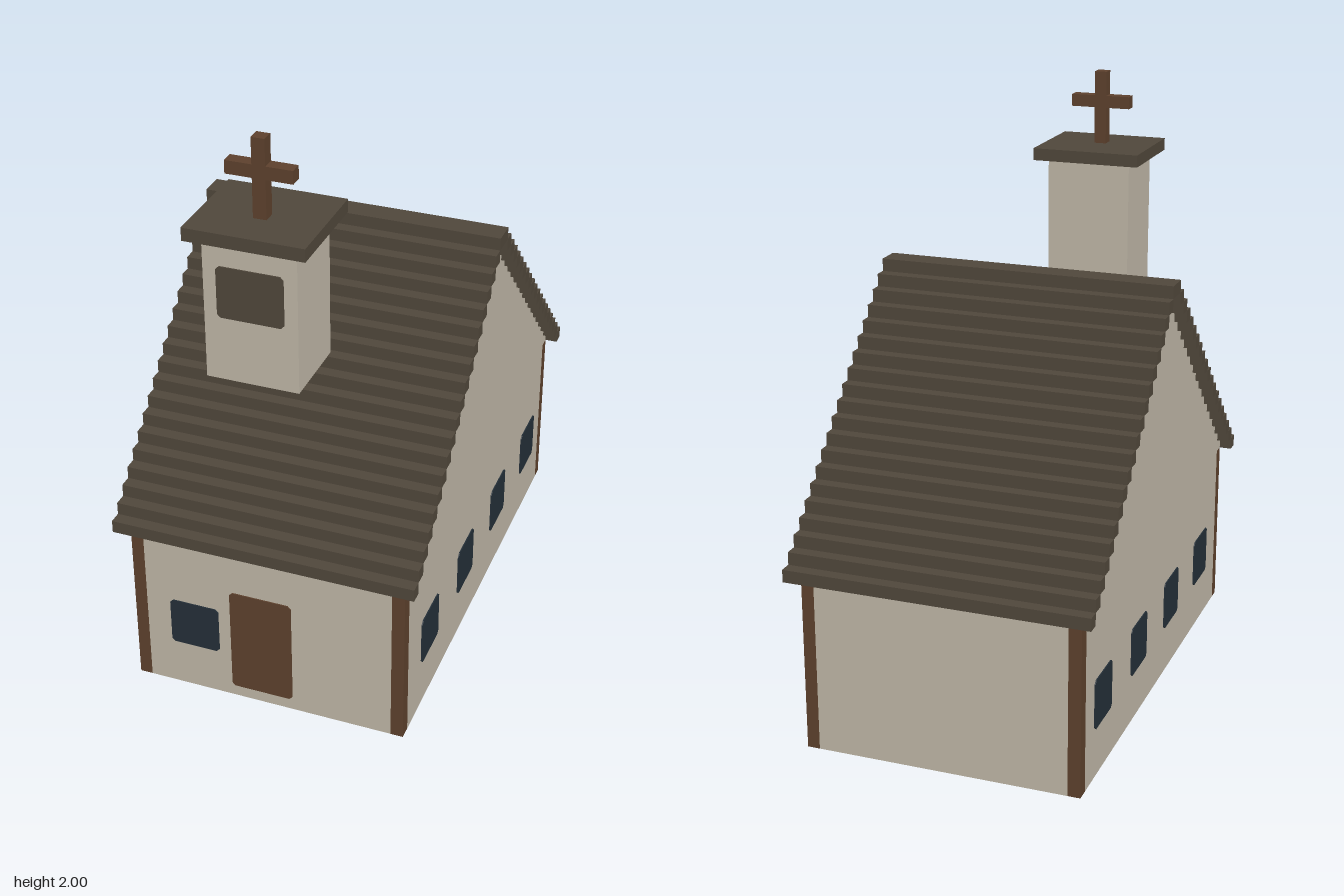
import * as THREE from 'three';
import { mergeGeometries } from 'three/addons/utils/BufferGeometryUtils.js';

const U = 2 / 47; // one building block

const material = (name, color) => {
  const m = new THREE.MeshStandardMaterial({ color });
  m.name = name;
  return m;
};

// box given by its limits, in blocks
function box(x0, x1, y0, y1, z0, z1) {
  const g = new THREE.BoxGeometry((x1 - x0) * U, (y1 - y0) * U, (z1 - z0) * U);
  return g.translate((x0 + x1) * U / 2, (y0 + y1) * U / 2, (z0 + z1) * U / 2);
}

// thin plate with clipped corners, facing +z, centred on its origin
function plate(w, h) {
  const a = w * U / 2, b = h * U / 2, c = 0.25 * U;
  const pts = [[a - c, -b], [a, -b + c], [a, b - c], [a - c, b],
    [-a + c, b], [-a, b - c], [-a, -b + c], [-a + c, -b]];
  const shape = new THREE.Shape(pts.map(([x, y]) => new THREE.Vector2(x, y)));
  return new THREE.ExtrudeGeometry(shape, { depth: 0.004, bevelEnabled: false });
}

export function createModel() {
  const model = new THREE.Group();
  model.name = 'chapel';
  const plaster = material('plaster', 0xbfb7a7);
  const shingle = material('shingle', 0x50473b);
  const timber = material('timber', 0x5d412d);
  const glass = material('glass', 0x242f38);
  const planks = material('floor planks', 0x6e533a);

  const add = (name, geometry, mat, parent = model) => {
    const mesh = new THREE.Mesh(geometry, mat);
    mesh.name = name;
    parent.add(mesh);
    return mesh;
  };

  // front and back walls, floor
  add('frontWall', box(-10, 10, 0, 14, 18, 19), plaster);
  add('backWall', box(-10, 10, 0, 14, -19, -18), plaster);
  add('floor', box(-10, 10, 0, 1, -18, 18), planks);

  // side walls with stepped gables
  const gable = new THREE.Shape();
  gable.moveTo(-18 * U, 0);
  gable.lineTo(18 * U, 0);
  gable.lineTo(18 * U, 14 * U);
  for (let i = 0; i < 19; i++) {
    gable.lineTo((19 - i) * U, (14 + i) * U);
    gable.lineTo((19 - i) * U, (15 + i) * U);
  }
  for (let i = 18; i >= 0; i--) {
    gable.lineTo((i - 19) * U, (15 + i) * U);
    gable.lineTo((i - 19) * U, (14 + i) * U);
  }
  gable.lineTo(-18 * U, 14 * U);
  const gableGeo = new THREE.ExtrudeGeometry(gable, { depth: U, bevelEnabled: false });
  gableGeo.translate(0, 0, -U / 2).rotateY(-Math.PI / 2);
  for (const s of [-1, 1]) {
    add(s > 0 ? 'leftWall' : 'rightWall', gableGeo, plaster).position.x = s * 10.5 * U;
    // corner posts
    for (const t of [-1, 1]) {
      add('cornerPost', box(-0.5, 0.5, 0, 14, -0.5, 0.5), timber)
        .position.set(s * 10.5 * U, 0, t * 18.5 * U);
    }
    // side windows
    for (const z of [13, 4, -5, -14]) {
      const w = add('sideWindow', plate(4, 4), glass);
      w.rotation.y = s * Math.PI / 2;
      w.position.set(s * 11 * U, 6 * U, z * U);
    }
  }

  // stepped roof, one course per block
  const courses = [];
  for (let i = 0; i < 20; i++) {
    courses.push(box(-12, 12, 14 + i, 15 + i, 19 - i, 20 - i));
    courses.push(box(-12, 12, 14 + i, 15 + i, i - 20, i - 19));
  }
  add('roof', mergeGeometries(courses), shingle);

  // door and front window
  add('door', plate(5, 9), timber).position.set(-0.5 * U, 5.5 * U, 19 * U);
  add('frontWindow', plate(4, 4), glass).position.set(-6 * U, 6 * U, 19 * U);

  // bell tower with cap and cross
  const tower = new THREE.Group();
  tower.name = 'bellTower';
  model.add(tower);
  add('towerBody', box(-4, 3, 29, 40, 13, 19), plaster, tower);
  add('towerCap', box(-5, 4, 40, 41, 12, 20), shingle, tower);
  add('belfryOpening', plate(5, 4), shingle, tower).position.set(-0.5 * U, 36 * U, 19 * U);
  add('crossPost', box(-1, 0, 41, 47, 16, 17), timber, tower);
  add('crossArmLeft', box(0, 2, 44, 45, 16, 17), timber, tower);
  add('crossArmRight', box(-3, -1, 44, 45, 16, 17), timber, tower);

  return model;
}
